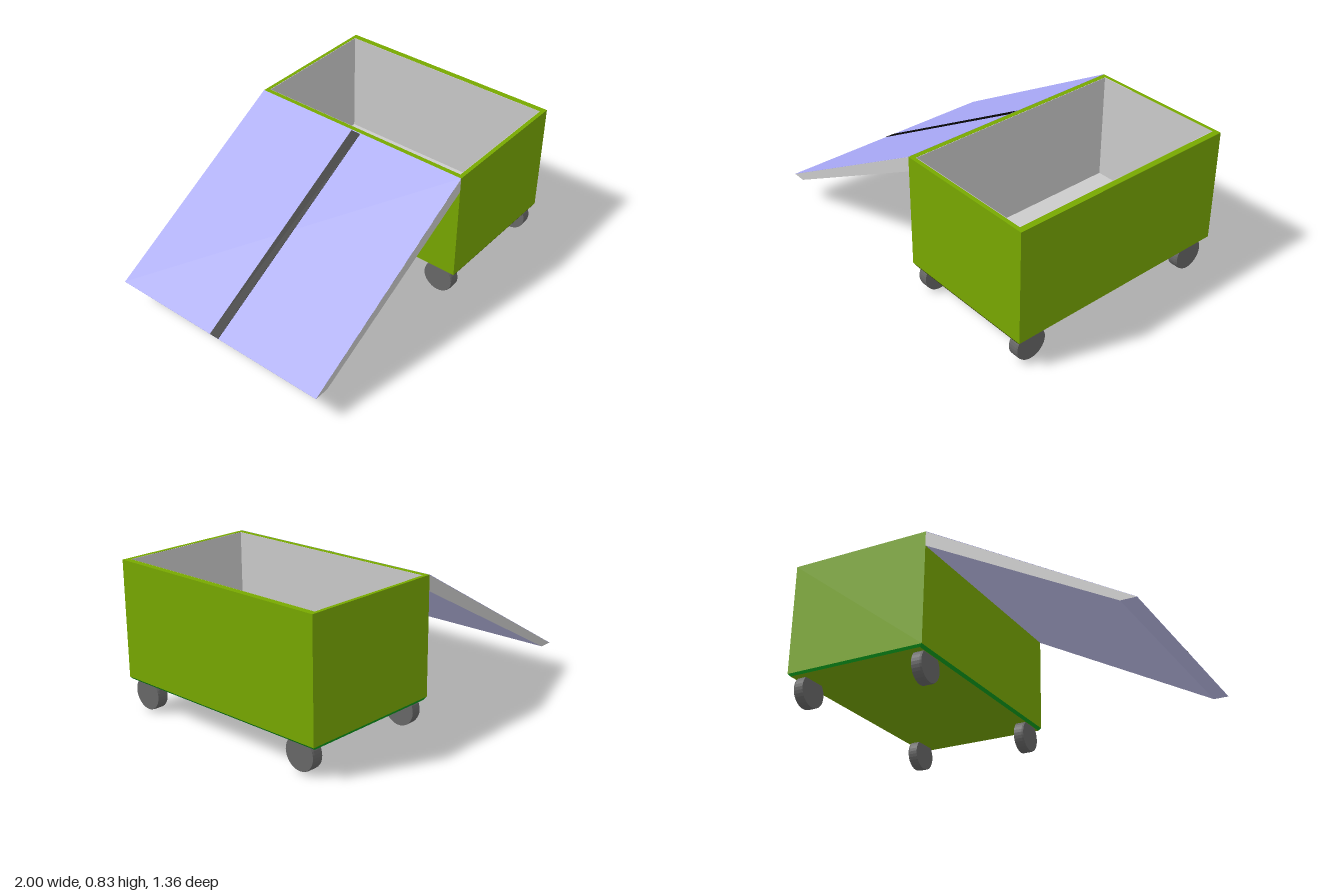
import * as THREE from 'three';

const mat = (color) => new THREE.MeshStandardMaterial({ color, flatShading: true });
const grey = mat(0xcccccc), green = mat(0x78a800), olive = mat(0x4a5c10), darkGreen = mat(0x0c9c1c);
const blue = mat(0xa8a8f6), paleBlue = mat(0xc4c4f2), black = mat(0x050505), rubber = mat(0x686868);

function add(parent, name, geometry, material, x = 0, y = 0, z = 0) {
  const mesh = new THREE.Mesh(geometry, material);
  mesh.name = name;
  mesh.position.set(x, y, z);
  parent.add(mesh);
  return mesh;
}

// Side profile in x/y, extruded along z
function slab(points, z0, z1) {
  const shape = new THREE.Shape(points.map(([x, y]) => new THREE.Vector2(x, y)));
  const geometry = new THREE.ExtrudeGeometry(shape, { depth: z1 - z0, bevelEnabled: false });
  return geometry.translate(0, 0, z0);
}

// Counter-clockwise plan outline
const rectangle = (x0, x1, z0, z1) => [[x0, z1], [x1, z1], [x1, z0], [x0, z0]]
  .map(([x, z]) => new THREE.Vector2(x, -z));

// Rectangular open frame standing from y0 to y1
function frame(outer, inner, y0, y1) {
  const shape = new THREE.Shape(rectangle(...outer));
  shape.holes.push(new THREE.Path(rectangle(...inner)));
  const geometry = new THREE.ExtrudeGeometry(shape, { depth: y1 - y0, bevelEnabled: false });
  return geometry.rotateX(-Math.PI / 2).translate(0, y0, 0);
}

// Thin box whose lower corners are drawn inwards
function chamferedBase(width, height, depth, insetX, insetZ) {
  const geometry = new THREE.BoxGeometry(width, height, depth);
  const p = geometry.attributes.position;
  for (let i = 0; i < p.count; i++) {
    if (p.getY(i) > 0) continue;
    p.setX(i, p.getX(i) - Math.sign(p.getX(i)) * insetX);
    p.setZ(i, p.getZ(i) - Math.sign(p.getZ(i)) * insetZ);
  }
  geometry.computeVertexNormals();
  return geometry;
}

// Disc wheel with a slightly chamfered outer edge, its axle along x
function wheelGeometry() {
  const r = 0.0925, h = 0.03;
  const profile = [[0, -h], [r, -h], [r, 0.02], [r - 0.003, h], [0, h]]
    .map(([x, y]) => new THREE.Vector2(x, y));
  return new THREE.LatheGeometry(profile, 32).rotateZ(-Math.PI / 2);
}

export function createModel() {
  const model = new THREE.Group();
  model.name = 'cartWithRamp';

  // Open box: coloured shell, grey lining and floor
  const cart = new THREE.Group();
  cart.name = 'cart';
  model.add(cart);
  const inner = [0.188, 0.965, -0.66, 0.655];
  add(cart, 'shell', frame([0.16, 1, -0.68, 0.678], inner, 0.177, 0.827), green);
  add(cart, 'lining', frame(inner, [0.191, 0.962, -0.657, 0.652], 0.18, 0.826), grey);
  add(cart, 'floor', new THREE.BoxGeometry(0.777, 0.022, 1.315), grey, 0.5765, 0.189, -0.0025);

  // Chamfered base: trim on the sides, shell colour underneath
  add(cart, 'base', chamferedBase(0.84, 0.015, 1.358, 0.015, 0.008),
    [darkGreen, darkGreen, green, green, olive, darkGreen], 0.58, 0.1695, -0.001);

  // Wheels, chamfer facing outward
  const wheel = wheelGeometry();
  for (const [x, y, z] of [
    [0.208, 0.0925, 0.565], [0.208, 0.102, -0.56],
    [0.94, 0.1, 0.573], [0.944, 0.103, -0.56],
  ]) {
    const mesh = add(cart, 'wheel', wheel, rubber, x, y, z);
    if (x < 0.5) mesh.rotation.y = Math.PI;
  }

  // Sloping ramp: grey cheeks, pale underside, coloured top
  const ramp = new THREE.Group();
  ramp.name = 'ramp';
  model.add(ramp);
  const layer = (low, high, end = 0.16) => {
    const top = (x) => 0.162 + (x + 1) * 0.5733;
    return [[-1, top(-1) + low], [end, top(end) + low], [end, top(end) + high], [-1, top(-1) + high]];
  };
  const profile = [[-1, 0.162], [-0.915, 0.162], [0.16, 0.742], [0.16, 0.826]];
  add(ramp, 'board', slab(profile, -0.68, 0.678), [grey, paleBlue]);
  add(ramp, 'topSurface', slab(layer(0, 0.001), -0.68, 0.678), blue);
  add(ramp, 'centreLine', slab(layer(0.001, 0.0025, 0.155), -0.036, 0.023), black);

  return model;
}
